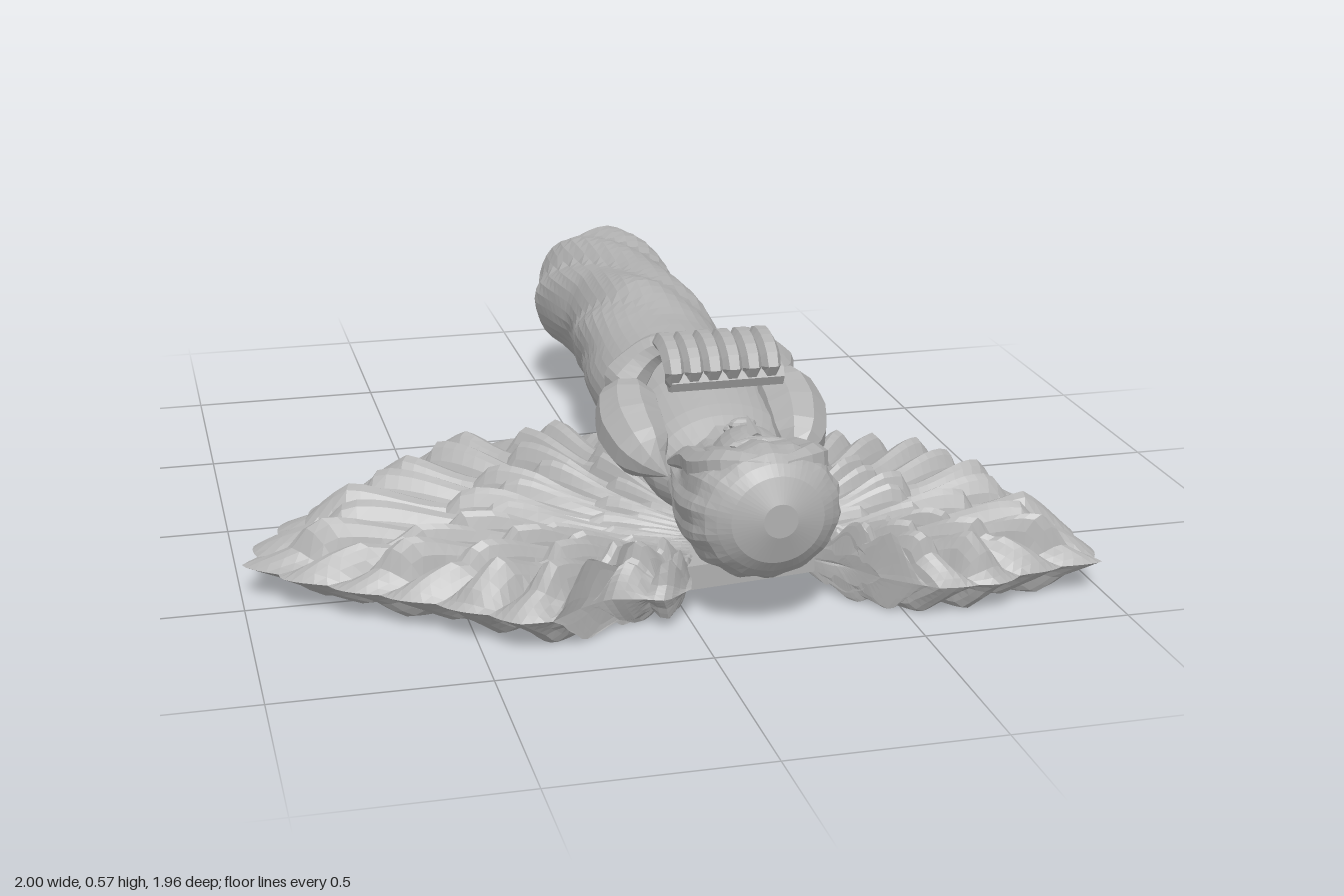
import * as THREE from 'three';

const stone = new THREE.MeshStandardMaterial({ color: 0xb0b0b0 });
stone.name = 'grey stone';
stone.flatShading = true;

const V = (x, y, z) => new THREE.Vector3(x, y, z);
const hash = (n) => { const s = Math.sin(n * 127.1 + 3.7) * 43758.5453; return s - Math.floor(s); };
const smooth = THREE.MathUtils.smoothstep;

function add(group, name, geometry) {
  const mesh = new THREE.Mesh(geometry, stone);
  mesh.name = name;
  group.add(mesh);
  return mesh;
}

// Grid surface from a rule P(i, j) -> Vector3
function sheet(P, nu, nv, flip = false) {
  const pos = [], idx = [];
  for (let i = 0; i <= nu; i++) for (let j = 0; j <= nv; j++) pos.push(...P(i, j).toArray());
  for (let i = 0; i < nu; i++) for (let j = 0; j < nv; j++) {
    const a = i * (nv + 1) + j, b = a + 1, d = a + nv + 1, c = d + 1;
    if (flip) idx.push(a, c, b, a, d, c); else idx.push(a, b, c, a, c, d);
  }
  const g = new THREE.BufferGeometry();
  g.setAttribute('position', new THREE.Float32BufferAttribute(pos, 3));
  g.setIndex(idx);
  g.computeVertexNormals();
  return g;
}

// Closed loft along z through sections [z, cx, cy, rx, ry]; rule scales the radius
function loft(sections, rings, sides, rule = () => 1) {
  const z0 = sections[0][0], z1 = sections[sections.length - 1][0];
  const at = (z) => {
    let k = 0;
    while (k < sections.length - 2 && z > sections[k + 1][0]) k++;
    const a = sections[k], b = sections[k + 1], t = (z - a[0]) / (b[0] - a[0]);
    return a.map((v, n) => v + (b[n] - v) * t);
  };
  return sheet((i, j) => {
    const t = Math.min(Math.max((i - 1) / (rings - 2), 0), 1);
    const [z, cx, cy, rx, ry] = at(z0 + (z1 - z0) * t);
    const a = (j % sides) / sides * Math.PI * 2;
    const r = i === 0 || i === rings ? 0 : rule(a, z);
    return V(cx + Math.cos(a) * rx * r, cy + Math.sin(a) * ry * r, z);
  }, rings, sides);
}

// Tube whose radius follows the list of radii
function limb(points, radii, sides = 8, steps = 14) {
  const curve = new THREE.CatmullRomCurve3(points.map((p) => V(...p)));
  const g = new THREE.TubeGeometry(curve, steps, 1, sides);
  const p = g.attributes.position, v = V(0, 0, 0);
  for (let i = 0; i <= steps; i++) {
    const c = curve.getPointAt(i / steps), f = i / steps * (radii.length - 1);
    const k = Math.min(Math.floor(f), radii.length - 2);
    const r = THREE.MathUtils.lerp(radii[k], radii[k + 1], f - k);
    for (let j = 0; j <= sides; j++) {
      const n = i * (sides + 1) + j;
      v.fromBufferAttribute(p, n).sub(c).multiplyScalar(r).add(c);
      p.setXYZ(n, v.x, v.y, v.z);
    }
  }
  return g;
}

// Feathered fan, ridged on both faces and sharp at the rim
function wing(name, outline, rootEnd, feathers, flip, seed) {
  const group = new THREE.Group();
  group.name = name;
  const rim = new THREE.Path(outline.map((p) => new THREE.Vector2(...p)));
  const rootStart = new THREE.Vector2(0.17, 0.4), root = new THREE.Vector2(...rootEnd);
  const per = 6, nu = feathers * per, nv = 30;
  const point = (top) => (i, j) => {
    const u = i / nu, v = j / nv, f = Math.min(Math.floor(i / per), feathers - 1);
    const ridge = Math.sin(Math.PI * (i % per) / per);
    const outer = rim.getPoint(u);
    const p = rootStart.clone().lerp(root, u).lerp(outer, v * (1 - 0.025 * (1 - ridge) * v));
    // overlapping tiers, staggered from feather to feather
    const tier = (v * 3 + 0.35 * hash(f + seed) + (f % 2) * 0.4) % 1;
    const saw = smooth(tier, 0, 0.75) * (1 - smooth(tier, 0.88, 1));
    const edge = Math.min(1, (1 - v) / 0.17) * smooth(u, 0, 0.1) * (1 - smooth(u, 0.95, 1));
    const spread = Math.min(1, v * 2.2);
    const h = top
      ? edge * (0.025 + spread * (0.05 * ridge + 0.045 * saw * (0.3 + 0.7 * ridge)))
      : -edge * (0.025 + spread * (0.042 * ridge + 0.014 * saw));
    return V(p.x, 0.1 + h, p.y);
  };
  add(group, 'wingUpperFeathers', sheet(point(true), nu, nv, flip));
  add(group, 'wingLowerFeathers', sheet(point(false), nu, nv, !flip));
  return group;
}

export function createModel() {
  const model = new THREE.Group();
  model.name = 'recliningWingedFigure';

  // Robe with folds twisting toward the hem
  const robe = [
    [-0.98, 0.19, 0.305, 0.185, 0.18], [-0.88, 0.185, 0.305, 0.2, 0.19],
    [-0.6, 0.185, 0.32, 0.168, 0.178], [-0.3, 0.17, 0.33, 0.185, 0.188],
    [-0.1, 0.165, 0.305, 0.195, 0.175], [0.1, 0.17, 0.295, 0.2, 0.168],
    [0.3, 0.17, 0.29, 0.2, 0.165], [0.45, 0.165, 0.27, 0.185, 0.14],
    [0.54, 0.16, 0.25, 0.12, 0.1]];
  add(model, 'robe', loft(robe, 44, 40, (a, z) => {
    const amp = 0.07 * (1 - smooth(z, -0.45, 0.02));
    const fold = Math.abs(Math.sin(2.5 * (a + 3.2 * z) + 0.5 * Math.sin(9 * z + a)));
    return 1 + amp * (1.6 * fold - 0.9) + 0.3 * amp * Math.sin(7 * a + 14 * z);
  }));

  // Neck and head
  add(model, 'neck', loft([[0.46, 0.16, 0.28, 0.1, 0.11], [0.56, 0.16, 0.29, 0.07, 0.08],
    [0.68, 0.16, 0.31, 0.075, 0.09]], 8, 14));
  const hair = [
    [0.48, 0.155, 0.26, 0.13, 0.1], [0.58, 0.155, 0.26, 0.145, 0.11],
    [0.68, 0.155, 0.27, 0.168, 0.145], [0.78, 0.155, 0.285, 0.178, 0.165],
    [0.86, 0.155, 0.305, 0.178, 0.165], [0.92, 0.155, 0.315, 0.155, 0.145],
    [0.96, 0.155, 0.32, 0.105, 0.1], [0.98, 0.155, 0.325, 0.04, 0.04]];
  add(model, 'hair', loft(hair, 24, 56, (a, z) =>
    1 + 0.028 * Math.sin(14 * a + 3 * Math.sin(6 * z)) * (1 - smooth(z, 0.85, 0.96))));
  const face = add(model, 'face', new THREE.SphereGeometry(1, 18, 12));
  face.scale.set(0.098, 0.115, 0.155);
  face.position.set(0.155, 0.345, 0.745);
  const nose = add(model, 'nose', new THREE.ConeGeometry(0.022, 0.085, 5));
  nose.position.set(0.155, 0.462, 0.735);
  nose.rotation.x = -1.15;
  for (const [name, z, y, w] of [['lips', 0.665, 0.445, 0.034], ['chin', 0.625, 0.42, 0.035], ['brow', 0.8, 0.445, 0.07]]) {
    const m = add(model, name, new THREE.SphereGeometry(1, 10, 6));
    m.scale.set(w, 0.016, 0.017);
    m.position.set(0.155, y, z);
  }

  // Arms, hair locks and curled fingers, mirrored about the body axis
  const axis = 0.162;
  for (const s of [-1, 1]) {
    const side = s < 0 ? 'right' : 'left';
    const m = (pts) => pts.map(([x, y, z]) => [axis + s * x, y, z]);
    add(model, side + 'HairLock', limb(m([[0.01, 0.435, 0.92], [0.09, 0.425, 0.87], [0.128, 0.385, 0.76],
      [0.122, 0.36, 0.64], [0.14, 0.31, 0.52]]), [0.02, 0.04, 0.036, 0.032, 0.01], 7));
    add(model, side + 'UpperArm', limb(m([[0.15, 0.28, 0.54], [0.185, 0.31, 0.49], [0.205, 0.36, 0.38],
      [0.19, 0.405, 0.29], [0.17, 0.41, 0.23]]), [0, 0.072, 0.085, 0.078, 0], 9));
    add(model, side + 'Forearm', limb(m([[0.22, 0.38, 0.27], [0.19, 0.44, 0.27], [0.125, 0.515, 0.285],
      [0.06, 0.545, 0.33]]), [0.015, 0.06, 0.046, 0.036, 0.02], 8));
    for (let k = 0; k < 3; k++) {
      const x = 0.024 + k * 0.048;
      add(model, side + 'Finger', limb(m([[x, 0.54, 0.31], [x, 0.563, 0.37], [x, 0.553, 0.44],
        [x, 0.515, 0.475], [x, 0.483, 0.445]]), [0.012, 0.027, 0.027, 0.026, 0.016], 6, 10));
    }
  }
  const palms = add(model, 'claspedPalms', new THREE.CylinderGeometry(0.03, 0.03, 0.28, 7));
  palms.rotation.z = Math.PI / 2;
  palms.position.set(0.175, 0.49, 0.45);

  // Wings spread flat behind the back
  model.add(wing('rightWing', [[0.17, -0.2], [-0.48, -0.2], [-0.55, -0.13], [-0.72, 0.02], [-0.87, 0.17],
    [-0.96, 0.31], [-1, 0.42], [-0.92, 0.52], [-0.75, 0.65], [-0.6, 0.75], [-0.42, 0.9], [-0.36, 0.91],
    [-0.28, 0.85], [-0.2, 0.81], [-0.07, 0.85], [0, 0.8]], [0.03, 0.7], 19, false, 1));
  model.add(wing('leftWing', [[0.17, -0.2], [0.38, -0.1], [0.5, 0], [0.62, 0.08], [0.75, 0.13], [0.85, 0.2],
    [0.95, 0.4], [0.98, 0.53], [1, 0.57], [1, 0.87], [0.9, 0.88], [0.8, 0.9], [0.7, 0.94], [0.56, 0.93],
    [0.45, 0.84], [0.38, 0.74]], [0.31, 0.68], 18, true, 40));

  // Plate joining the wing roots beneath the back
  const plate = new THREE.Shape([[0.17, 0.1], [0.36, 0.5], [0.33, 0.7], [0.0, 0.74], [-0.04, 0.5]]
    .map(([x, z]) => new THREE.Vector2(x, -z)));
  const joint = add(model, 'wingJoint', new THREE.ExtrudeGeometry(plate, { depth: 0.06, bevelEnabled: false }));
  joint.rotation.x = -Math.PI / 2;
  joint.position.y = 0.07;

  return model;
}
